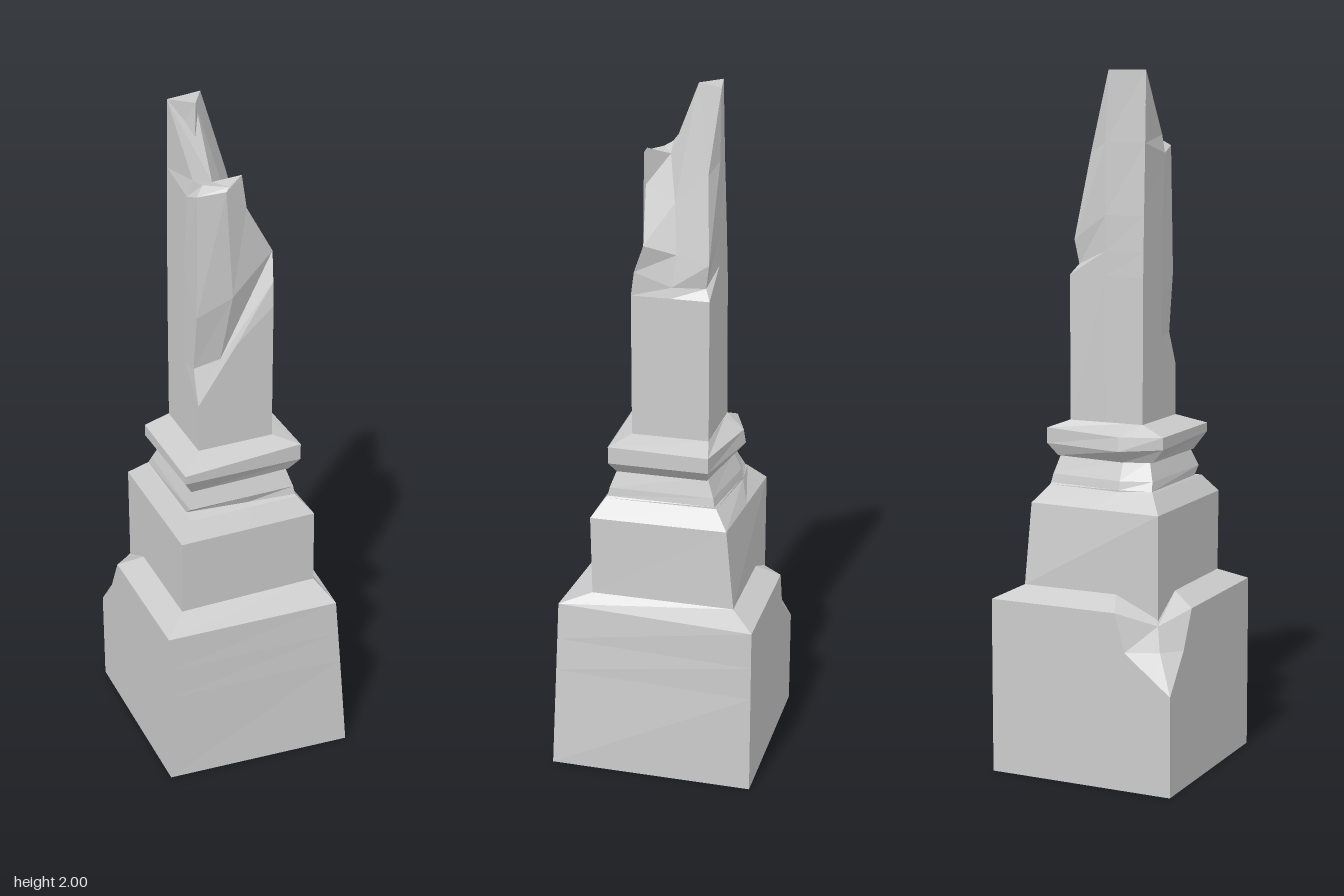
import * as THREE from 'three';

const material = new THREE.MeshStandardMaterial({ color: 0xcccccc, flatShading: true });

// Joins rings of [x, y, z] corners (anticlockwise seen from above) and caps both ends.
// The top cap fans out from corner `tip` if given, otherwise from the middle of the ring.
function loft(name, rings, tip) {
  const pos = [];
  const tri = (...corners) => corners.forEach((c) => pos.push(...c));
  const n = rings[0].length;
  const middle = (ring) => [0, 1, 2].map((k) => ring.reduce((s, p) => s + p[k], 0) / n);
  for (let r = 0; r < rings.length - 1; r++) {
    const lo = rings[r], hi = rings[r + 1];
    for (let i = 0; i < n; i++) {
      const j = (i + 1) % n;
      tri(lo[i], lo[j], hi[j]);
      tri(lo[i], hi[j], hi[i]);
    }
  }
  const first = rings[0], last = rings[rings.length - 1];
  const bottomMid = middle(first);
  const topMid = tip === undefined ? middle(last) : last[tip];
  for (let i = 0; i < n; i++) {
    const j = (i + 1) % n;
    tri(bottomMid, first[j], first[i]);
    if (i !== tip && j !== tip) tri(topMid, last[i], last[j]);
  }
  const geometry = new THREE.BufferGeometry();
  geometry.setAttribute('position', new THREE.Float32BufferAttribute(pos, 3));
  geometry.computeVertexNormals();
  const mesh = new THREE.Mesh(geometry, material);
  mesh.name = name;
  return mesh;
}

// Level ring from [x, z] pairs
const level = (y, ...points) => points.map(([x, z]) => [x, y, z]);

export function createModel() {
  const group = new THREE.Group();
  group.name = 'brokenObelisk';

  // Plinth: front corners, back corner, then three corners around the broken-off chip
  const plinth = loft('plinth', [
    level(0, [-0.28, 0.26], [0.28, 0.3], [0.28, -0.3], [-0.24, -0.3], [-0.28, -0.3], [-0.28, -0.26]),
    [[-0.28, 0.3, 0.26], [0.257, 0.3, 0.291], [0.28, 0.3, -0.3],
      [-0.24, 0.32, -0.3], [-0.28, 0.29, -0.3], [-0.28, 0.31, -0.26]],
    [[-0.28, 0.4, 0.26], [0.249, 0.4, 0.288], [0.28, 0.4, -0.3],
      [-0.14, 0.4, -0.3], [-0.23, 0.4, -0.26], [-0.28, 0.4, -0.21]],
    [[-0.28, 0.51, 0.26], [0.24, 0.51, 0.285], [0.28, 0.51, -0.3],
      [-0.11, 0.51, -0.3], [-0.215, 0.47, -0.24], [-0.28, 0.51, -0.155]],
    [[-0.21, 0.545, 0.19], [0.21, 0.545, 0.19], [0.21, 0.545, -0.23],
      [-0.08, 0.545, -0.23], [-0.205, 0.49, -0.225], [-0.21, 0.545, -0.115]],
  ]);

  // Pedestal block
  const pedestal = loft('pedestal', [
    level(0.47, [-0.21, 0.19], [0.21, 0.19], [0.21, -0.23], [-0.21, -0.23]),
    level(0.545, [-0.21, 0.19], [0.21, 0.19], [0.21, -0.23], [-0.21, -0.23]),
    level(0.78, [-0.21, 0.195], [0.205, 0.195], [0.2, -0.205], [-0.21, -0.23]),
  ]);

  // Tapering neck with a notch in the front
  const neck = loft('neck', [
    level(0.78, [-0.21, 0.195], [0, 0.195], [0.205, 0.195], [0.2, -0.205], [0, -0.217], [-0.21, -0.23]),
    level(0.83, [-0.17, 0.16], [0.02, 0.16], [0.165, 0.16], [0.16, -0.165], [-0.07, -0.19], [-0.17, -0.18]),
    level(0.835, [-0.165, 0.12], [0.02, 0.14], [0.16, 0.155], [0.16, -0.16], [-0.07, -0.19], [-0.165, -0.175]),
    level(0.86, [-0.165, 0.15], [0.02, 0.15], [0.157, 0.15], [0.155, -0.155], [-0.07, -0.185], [-0.16, -0.16]),
    level(0.915, [-0.145, 0.13], [0, 0.13], [0.14, 0.13], [0.14, -0.135], [-0.07, -0.16], [-0.14, -0.135]),
  ]);

  // Five-cornered cornice
  const cornice = loft('cornice', [
    level(0.91, [-0.155, 0.135], [0.15, 0.13], [0.15, -0.135], [-0.07, -0.165], [-0.15, -0.135]),
    [[-0.185, 0.96, 0.165], [0.18, 0.945, 0.147], [0.18, 0.945, -0.145], [-0.07, 0.945, -0.197], [-0.185, 0.95, -0.145]],
    [[-0.185, 0.985, 0.165], [0.18, 0.995, 0.147], [0.18, 0.99, -0.145], [-0.07, 0.985, -0.19], [-0.185, 0.985, -0.145]],
    level(1.015, [-0.115, 0.095], [0.112, 0.095], [0.112, -0.13], [-0.07, -0.132], [-0.115, -0.13]),
  ]);

  // Splintered shaft: eight columns, front left round to the left side
  const shaft = loft('shaft', [
    level(1.0, [-0.115, 0.095], [0, 0.095], [0.112, 0.095], [0.112, -0.02],
      [0.112, -0.13], [0, -0.13], [-0.115, -0.13], [-0.115, 0]),
    [[-0.115, 1.16, 0.095], [0, 1.33, 0.095], [0.112, 1.43, 0.095], [0.112, 1.43, -0.02],
      [0.112, 1.43, -0.13], [0, 1.43, -0.13], [-0.115, 1.43, -0.127], [-0.115, 1.25, 0]],
    [[-0.112, 1.26, 0.055], [-0.035, 1.28, 0.065], [0.115, 1.5, 0.085], [0.105, 1.46, -0.02],
      [0.09, 1.46, -0.115], [0, 1.5, -0.13], [-0.115, 1.5, -0.125], [-0.115, 1.35, 0]],
    [[-0.112, 1.43, 0.08], [-0.01, 1.48, 0.093], [0.125, 1.58, 0.055], [0.09, 1.55, -0.03],
      [0.1, 1.53, -0.125], [0, 1.6, -0.13], [-0.115, 1.6, -0.122], [-0.115, 1.55, 0]],
    [[-0.107, 1.79, 0.075], [-0.03, 1.8, 0.095], [0.04, 1.73, 0.07], [0.03, 1.68, -0.01],
      [0.055, 1.77, -0.11], [0, 1.8, -0.13], [-0.115, 1.8, -0.115], [-0.113, 1.77, 0.02]],
    [[-0.08, 1.81, 0.05], [-0.02, 1.81, 0.088], [0.025, 1.83, 0.07], [-0.04, 1.8, 0.02],
      [-0.055, 2, -0.055], [-0.01, 2, -0.13], [-0.115, 2, -0.11], [-0.1, 1.82, 0.03]],
  ], 3);

  // Triangular tip of the tall splinter
  const tip = loft('shaftTip', [
    level(1.85, [-0.06, -0.05], [-0.005, -0.125], [-0.115, -0.113]),
    level(2, [-0.055, -0.055], [-0.01, -0.13], [-0.115, -0.11]),
  ]);

  group.add(plinth, pedestal, neck, cornice, shaft, tip);
  return group;
}
